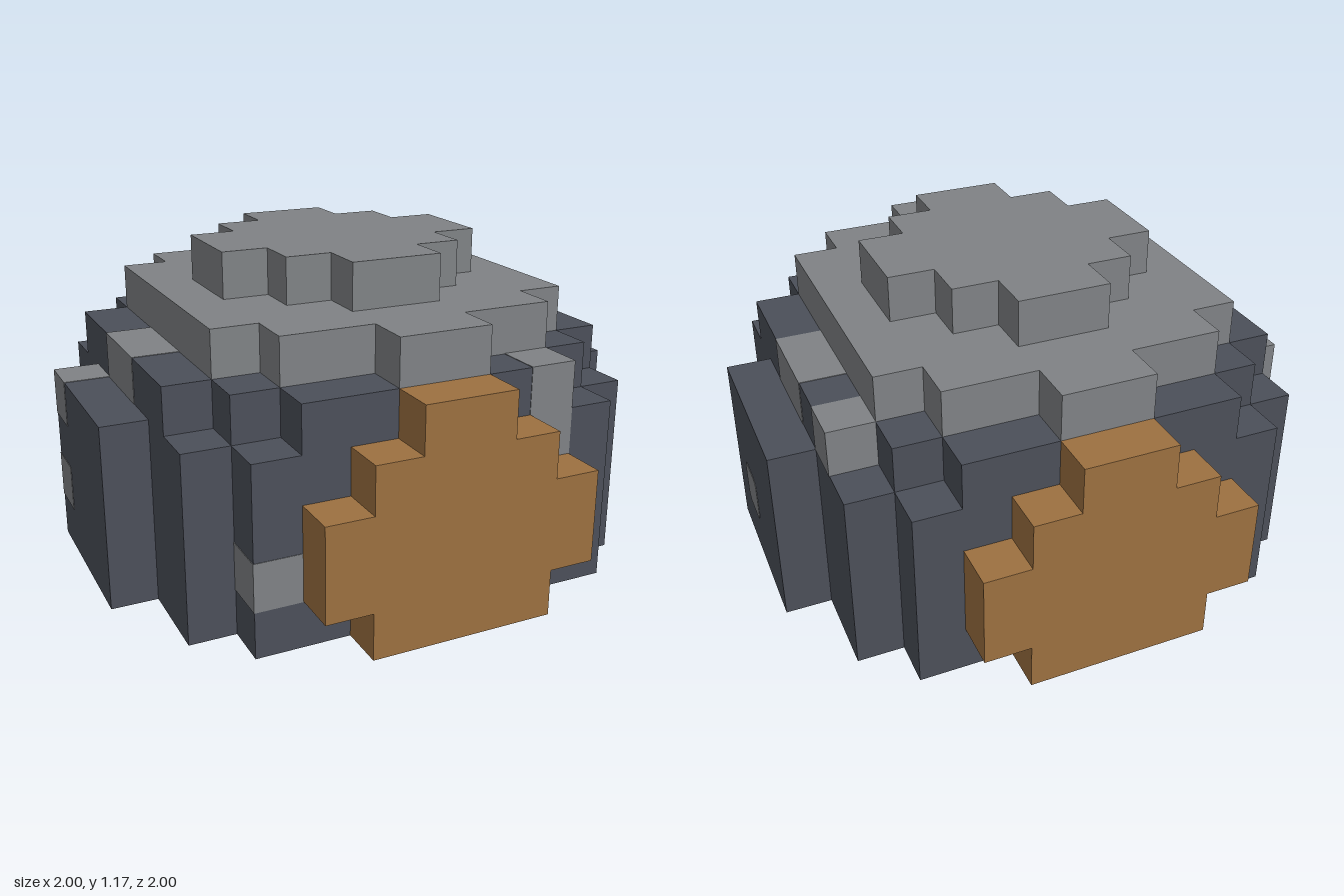
import * as THREE from 'three';

const U = 1 / 6; // one block

export function createModel() {
  const group = new THREE.Group();
  const material = (name, color) => {
    const m = new THREE.MeshStandardMaterial({ color });
    m.name = name;
    return m;
  };
  const dark = material('dark stone', 0x4b4f59);
  const grey = material('grey stone', 0x7f8285);
  const brown = material('brown wood', 0x9c7040);

  const add = (name, geometry, mat) => {
    const mesh = new THREE.Mesh(geometry, mat);
    mesh.name = name;
    group.add(mesh);
    return mesh;
  };

  // Stepped outline from quarter steps [half width, half depth], mirrored both ways
  const outline = (steps, cx = 0) => {
    const q = [];
    steps.forEach(([x, z], i) => {
      if (i) q.push([x, steps[i - 1][1]]);
      q.push([x, z]);
    });
    const r = [...q].reverse();
    return [
      ...q,
      ...r.map(([x, z]) => [-x, z]),
      ...q.map(([x, z]) => [-x, -z]),
      ...r.map(([x, z]) => [x, -z]),
    ].map(([x, z]) => new THREE.Vector2((x + cx) * U, z * U));
  };

  // Horizontal layer of blocks between two heights, with an optional hollow
  const layer = (name, y0, y1, steps, mat, hollow) => {
    const shape = new THREE.Shape(outline(steps));
    if (hollow) shape.holes.push(new THREE.Path(outline(hollow, -2)));
    const g = new THREE.ExtrudeGeometry(shape, { depth: (y1 - y0) * U, bevelEnabled: false });
    g.rotateX(Math.PI / 2).translate(0, y1 * U, 0);
    add(name, g, mat);
  };

  const wall = [[6, 2], [5, 4], [4, 5]];
  layer('lowerWall', 0, 3, wall, dark, [[3, 2], [2, 3]]);
  layer('upperWall', 3, 4, wall, dark, [[2, 1], [1, 2]]);
  layer('shoulder', 4, 5, [[5, 3], [4, 4], [3, 5]], dark);
  layer('roof', 5, 6, [[4, 3], [3, 4], [1, 5]], grey);
  layer('roofCap', 6, 7, [[3, 1], [2, 2], [1, 3]], grey);

  // Stepped wooden panels on the front and back
  const half = [[2, 0], [2, 1], [3, 1], [3, 3], [2, 3], [2, 4], [1, 4], [1, 5]];
  const panel = [...half, ...[...half].reverse().map(([x, y]) => [-x, y])]
    .map(([x, y]) => new THREE.Vector2(x * U, y * U));
  for (const [name, z] of [['frontPanel', 5], ['backPanel', -6]]) {
    const g = new THREE.ExtrudeGeometry(new THREE.Shape(panel), { depth: U, bevelEnabled: false });
    add(name, g.translate(0, 0, z * U), brown);
  }

  // Single grey stones set in the walls: corner position and size in blocks
  const skin = 0.004;
  const stones = [
    ['frontStone', -4, 1, 4, 1, 1, 1],
    ['frontUprightStone', 2, 3, 4, 1, 2, 1],
    ['leftShoulderStone', 4, 4, -1, 1, 1, 2],
    ['rightShoulderStone', -5, 4, -1, 1, 1, 2],
    ['leftRearStone', 4, 4, -3, 1, 1, 1],
    ['rightUpperStone', -6, 3, -2, 1, 1, 1],
    ['rightLowerStone', -6, 1, -2, 1, 1, 1],
    ['innerStone', -2, 1, 3, 1, 1, 1],
  ];
  for (const [name, x, y, z, w, h, d] of stones) {
    const g = new THREE.BoxGeometry(w * U + skin, h * U + skin, d * U + skin);
    add(name, g, grey).position.set((x + w / 2) * U, (y + h / 2) * U, (z + d / 2) * U);
  }

  // Rounded stone on the left side
  const s = new THREE.Shape();
  const a = 0.088, r = 0.035;
  s.moveTo(-a + r, -a);
  for (const [cx, cy, start] of [[a - r, -a + r, -0.5], [a - r, a - r, 0], [-a + r, a - r, 0.5], [-a + r, -a + r, 1]]) {
    s.absarc(cx, cy, r, start * Math.PI, (start + 0.5) * Math.PI, false);
  }
  const plate = new THREE.ExtrudeGeometry(s, { depth: 0.004, bevelEnabled: false, curveSegments: 4 });
  plate.rotateY(Math.PI / 2);
  add('leftRoundedStone', plate, grey).position.set(1 - 0.002, 0.258, 0.09);

  return group;
}
